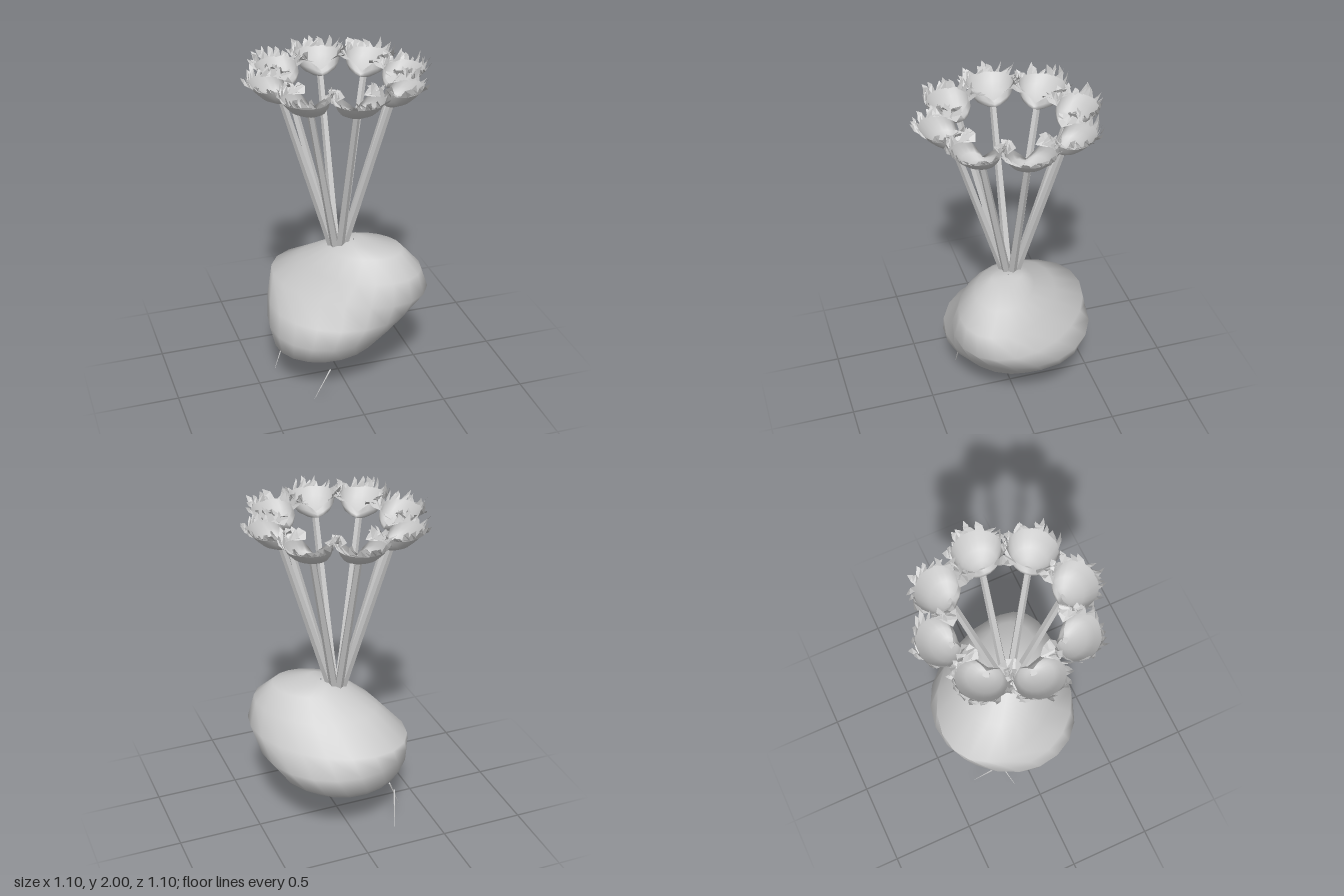
import * as THREE from 'three';

const grey = new THREE.MeshStandardMaterial({ color: 0xcccccc });
const thin = new THREE.MeshStandardMaterial({ color: 0xcccccc, side: THREE.DoubleSide });
const faceted = new THREE.MeshStandardMaterial({ color: 0xcccccc, side: THREE.DoubleSide, flatShading: true });

function add(parent, name, geometry, material) {
  const mesh = new THREE.Mesh(geometry, material);
  mesh.name = name;
  parent.add(mesh);
  return mesh;
}

function seeded(seed) {
  let s = seed;
  return () => (s = (s * 16807) % 2147483647) / 2147483647;
}

// Joins counter-clockwise rings of points (listed bottom to top) with a smooth skin
function loft(rings) {
  const n = rings[0].length, pos = rings.flat(2), idx = [];
  for (let r = 0; r < rings.length - 1; r++) {
    for (let i = 0; i < n; i++) {
      const a = r * n + i, b = r * n + (i + 1) % n;
      idx.push(a, b, a + n, b, b + n, a + n);
    }
  }
  const g = new THREE.BufferGeometry();
  g.setAttribute('position', new THREE.Float32BufferAttribute(pos, 3));
  g.setIndex(idx);
  g.computeVertexNormals();
  return g;
}

// Leaning tuber: y, x range, z range and diagonal skew of each cross-section
function bulbGeometry() {
  const sections = [
    [0.14, -0.14, -0.13, -0.01, 0.01, 0], [0.142, -0.20, 0.0, -0.08, 0.08, 0],
    [0.18, -0.29, 0.12, -0.18, 0.17, -0.05], [0.27, -0.40, 0.25, -0.30, 0.30, -0.1],
    [0.40, -0.43, 0.385, -0.44, 0.39, -0.12], [0.52, -0.41, 0.475, -0.47, 0.41, 0.02],
    [0.64, -0.35, 0.50, -0.46, 0.40, 0.33], [0.77, -0.22, 0.45, -0.26, 0.365, 0.33],
    [0.88, -0.07, 0.35, -0.11, 0.26, 0.25], [0.912, 0.03, 0.15, -0.05, 0.14, 0.1],
    [0.915, 0.08, 0.09, 0.03, 0.04, 0],
  ];
  const n = 20;
  return loft(sections.map(([y, x0, x1, z0, z1, skew]) => {
    const ring = [];
    for (let i = 0; i < n; i++) {
      const a = -(i / n) * Math.PI * 2;
      const c = Math.cos(a), s = Math.sin(a + Math.asin(skew));
      ring.push([(x0 + x1 + c * (x1 - x0)) / 2, y, (z0 + z1 + s * (z1 - z0)) / 2]);
    }
    return ring;
  }));
}

// How far the cup is cut away at angle a (1 on the side facing the middle)
function opening(a) {
  const d = Math.abs(a) - Math.PI;
  return Math.exp(-d * d / 0.2);
}

// Point on the cup at angle a from outward (+z); cups are wider than deep
function cupPoint(a, y, radius, shift) {
  return [Math.sin(a) * radius * 1.17, y, shift + Math.cos(a) * radius];
}

// Shell opening upward and toward the middle; rows are height, radius, outward shift
function cupGeometry() {
  const n = 20;
  const rows = [[1.818, 0.003, 0.325], [1.823, 0.042, 0.332], [1.85, 0.082, 0.347],
    [1.885, 0.104, 0.363], [1.93, 0.118, 0.385]];
  return loft(rows.map(([y, r, shift], k) => {
    const ring = [];
    for (let i = 0; i < n; i++) {
      const a = (i / n) * Math.PI * 2 - Math.PI, cut = opening(a);
      ring.push(cupPoint(a, y - (y - 1.818) * cut * 0.7, r * (1 - cut * 0.35 * k / 4), shift));
    }
    return ring;
  }));
}

// Ragged pointed petals around the cup rim
function frillGeometry(rand) {
  const pos = [];
  const petal = (a, halfWidth, length, rise, twist) => {
    const cut = opening(a);
    const at = (da, out, y) =>
      cupPoint(a + da, y - cut * 0.06, 0.115 * (1 - 0.35 * cut) + out, 0.385);
    const l = at(-halfWidth, 0, 1.92), r = at(halfWidth, 0, 1.92);
    const ml = at(-halfWidth * 0.8 + twist, length * 0.5, 1.93 + rise * 0.7);
    const mr = at(halfWidth * 0.6 + twist, length * 0.6, 1.925 + rise * 0.3);
    const tip = at(twist * 1.8, length, 1.93 + rise);
    pos.push(...l, ...r, ...ml, ...r, ...mr, ...ml, ...ml, ...mr, ...tip);
  };
  const count = 19;
  for (let i = 0; i < count; i++) {
    const a = (i / (count - 1) - 0.5) * 4.6;
    petal(a, 0.1 + rand() * 0.1, 0.01 + rand() * 0.035, 0.02 + rand() * 0.045, (rand() - 0.5) * 0.4);
  }
  petal(0, 0.12, 0.05, 0.05, 0);
  // curled petals either side of the opening
  for (const s of [-1, 1]) {
    petal(s * 2.45, 0.28, 0.07, 0.03, 0.05 * s);
    petal(s * 2.2, 0.25, 0.035, 0.05, -0.1 * s);
  }
  const g = new THREE.BufferGeometry();
  g.setAttribute('position', new THREE.Float32BufferAttribute(pos, 3));
  g.computeVertexNormals();
  return g;
}

// Tapered rod between two points
function rod(parent, name, from, to, r0, r1, sides) {
  const a = new THREE.Vector3(...from), b = new THREE.Vector3(...to);
  const dir = b.clone().sub(a);
  const mesh = add(parent, name, new THREE.CylinderGeometry(r1, r0, dir.length(), sides), faceted);
  mesh.position.copy(a).add(b).multiplyScalar(0.5);
  mesh.quaternion.setFromUnitVectors(new THREE.Vector3(0, 1, 0), dir.normalize());
}

export function createModel() {
  const model = new THREE.Group();
  model.name = 'floweringBulb';
  add(model, 'bulb', bulbGeometry(), grey);

  // Thin roots under the bulb
  const roots = [
    [[-0.14, 0.21, 0.29], [-0.24, 0.02, 0.29]],
    [[-0.28, 0.21, -0.17], [-0.37, 0.0, -0.12]],
    [[-0.28, 0.21, -0.24], [-0.24, 0.02, -0.35]],
  ];
  roots.forEach(([from, to]) => rod(model, 'root', from, to, 0.006, 0.001, 4));

  // Eight stems, each carrying a shell with a ragged rim
  const cup = cupGeometry();
  const rand = seeded(77);
  for (let i = 0; i < 8; i++) {
    const flower = new THREE.Group();
    flower.name = 'flower';
    flower.rotation.y = (i * Math.PI) / 4;
    rod(flower, 'stem', [0, 0.865, 0.032], [0, 1.822, 0.32], 0.026, 0.02, 5);
    add(flower, 'cup', cup, thin);
    add(flower, 'frill', frillGeometry(rand), faceted);
    model.add(flower);
  }
  return model;
}
